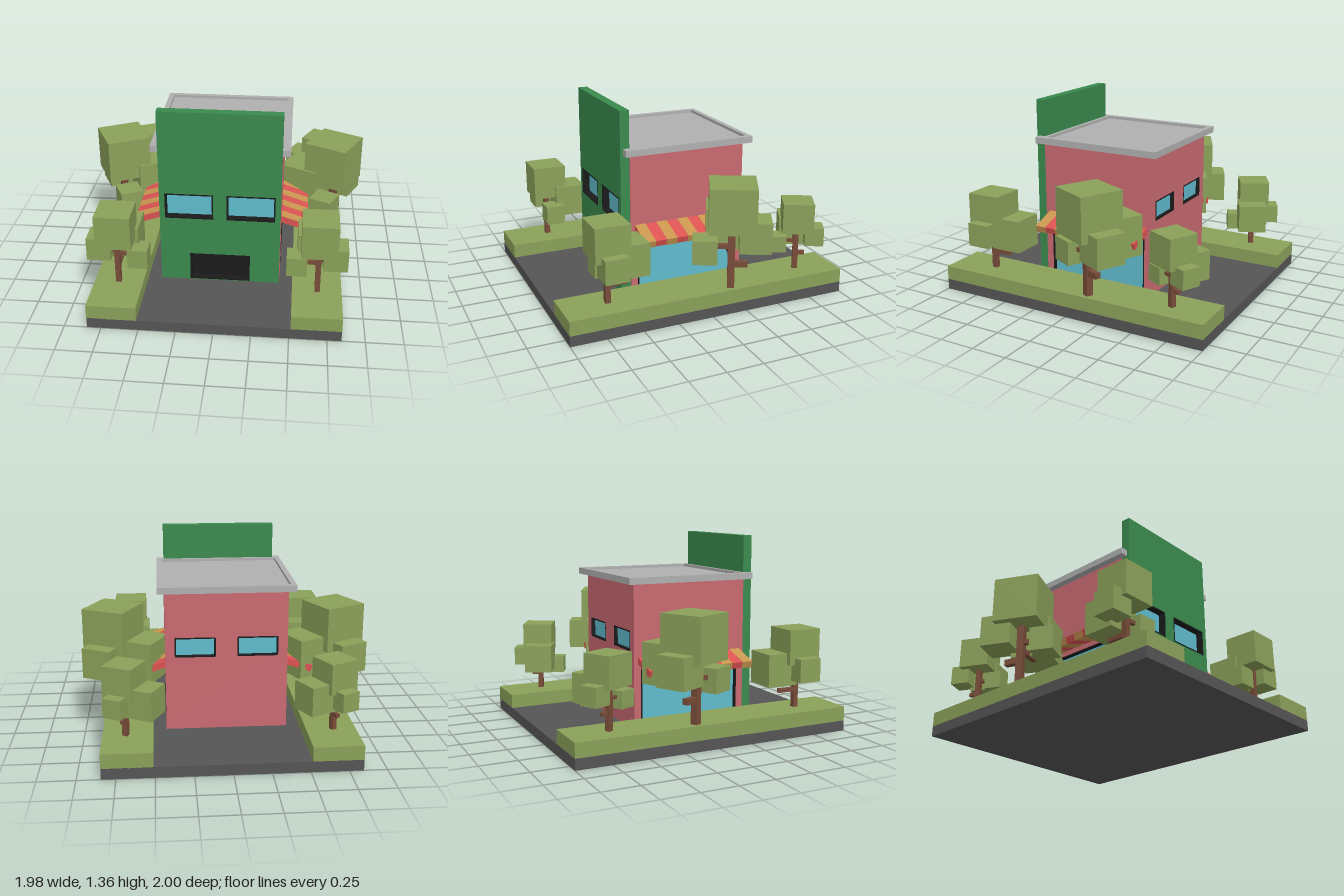
import * as THREE from 'three';

const mat = (color, side = THREE.FrontSide) => new THREE.MeshStandardMaterial({ color, side, flatShading: true });
const M = {
  asphalt: mat(0x555555), leaf: mat(0x8ba15a), wall: mat(0xc96a71), facade: mat(0x3a8a4e),
  glass: mat(0x60bbcd), black: mat(0x1a1a1a), roof: mat(0xb0b0b0), wood: mat(0x784c39),
  red: mat(0xdb5352), orange: mat(0xca9650),
};

function box(name, material, size, pos, parent) {
  const mesh = new THREE.Mesh(new THREE.BoxGeometry(...size), material);
  mesh.name = name;
  mesh.position.set(...pos);
  parent.add(mesh);
  return mesh;
}

function rectPoints(path, [x0, x1, y0, y1]) {
  path.moveTo(x0, y0);
  path.lineTo(x1, y0);
  path.lineTo(x1, y1);
  path.lineTo(x0, y1);
  path.closePath();
  return path;
}

// Flat slab with rectangular holes; outer face at z = 0, thickness behind it
function holedSlab(name, material, rect, holes, depth) {
  const shape = rectPoints(new THREE.Shape(), rect);
  holes.forEach(h => shape.holes.push(rectPoints(new THREE.Path(), h)));
  const geo = new THREE.ExtrudeGeometry(shape, { depth, bevelEnabled: false });
  geo.translate(0, 0, -depth);
  const mesh = new THREE.Mesh(geo, material);
  mesh.name = name;
  return mesh;
}

// Wall with recessed openings: black lining and a pane set back in each
function wall(name, material, rect, openings, depth) {
  const g = new THREE.Group();
  g.name = name;
  g.add(holedSlab(name + 'Panel', material, rect, openings.map(o => o.rect), depth));
  for (const { rect: r, pane } of openings) {
    const [x0, x1, y0, y1] = r, t = 0.01;
    const lining = holedSlab('frame', M.black, r, [[x0 + t, x1 - t, y0 + t, y1 - t]], depth);
    g.add(lining);
    box('pane', pane, [x1 - x0 - t, y1 - y0 - t, 0.015], [(x0 + x1) / 2, (y0 + y1) / 2, 0.0075 - depth], g);
  }
  return g;
}

// Awning sloping down and outward on the +x side, with raised orange stripes
function awning() {
  const g = new THREE.Group();
  g.name = 'awning';
  g.position.set(0.505, 0.515, 0);
  g.rotation.z = -0.32;
  box('awningSlab', M.red, [0.19, 0.045, 0.78], [0, 0, 0], g);
  for (let i = 0; i < 5; i++) {
    box('awningStripe', M.orange, [0.194, 0.049, 0.077], [0, 0, 0.35 - i * 0.156], g);
  }
  return g;
}

// Each tree: trunk [x, z, width, top], crowns [x, y, z, size], branches [dx, y, dz, thickness]
const trees = [
  {
    name: 'frontTree', turn: 0, trunk: [0.68, 0.69, 0.036, 0.52],
    crowns: [[0.68, 0.615, 0.685, 0.24], [0.65, 0.46, 0.535, 0.225],
      [0.79, 0.462, 0.685, 0.162], [0.535, 0.383, 0.675, 0.137]],
    branches: [[0, 0.298, -0.135, 0.028], [0.1, 0.42, 0, 0.025], [-0.13, 0.4, 0, 0.025]],
  },
  {
    name: 'middleTree', turn: -0.464, trunk: [0.79, -0.15, 0.048, 0.62],
    crowns: [[0.777, 0.746, -0.158, 0.312], [0.846, 0.55, -0.295, 0.212],
      [0.58, 0.55, -0.22, 0.28], [0.72, 0.447, 0.012, 0.166]],
    branches: [[-0.04, 0.468, 0.12, 0.03], [-0.17, 0.42, -0.05, 0.035], [0.04, 0.338, -0.1, 0.04]],
  },
  {
    name: 'backTree', turn: -0.464, trunk: [0.69, -0.715, 0.036, 0.49],
    crowns: [[0.69, 0.57, -0.718, 0.212], [0.56, 0.433, -0.76, 0.197],
      [0.74, 0.425, -0.825, 0.13], [0.625, 0.362, -0.605, 0.118]],
    branches: [[0.02, 0.288, -0.06, 0.026], [-0.1, 0.4, -0.03, 0.025], [-0.04, 0.38, 0.08, 0.022]],
  },
];

function tree({ name, turn, trunk: [x, z, w, top], crowns, branches }) {
  const g = new THREE.Group();
  g.name = name;
  box('trunk', M.wood, [w, top - 0.16, w], [x, (top + 0.16) / 2, z], g).rotation.y = turn;
  for (const [cx, cy, cz, s] of crowns) {
    box('foliage', M.leaf, [s, s, s], [cx, cy, cz], g).rotation.y = turn;
  }
  for (const [dx, y, dz, t] of branches) {
    const b = box('branch', M.wood, [t, t, Math.hypot(dx, dz)], [x + dx / 2, y, z + dz / 2], g);
    b.rotation.y = Math.atan2(dx, dz);
  }
  return g;
}

export function createModel() {
  const model = new THREE.Group();
  model.name = 'shopWithTrees';
  box('pavement', M.asphalt, [1.69, 0.075, 2], [0, 0.0375, 0], model);

  // Tall front facade with two windows and a doorway
  const win = (x0, x1, y0, y1, pane = M.glass) => ({ rect: [x0, x1, y0, y1], pane });
  const front = wall('frontFacade', M.facade, [-0.415, 0.415, 0.075, 1.36], [
    win(-0.378, -0.045, 0.57, 0.76), win(0.045, 0.378, 0.57, 0.76),
    win(-0.21, 0.21, 0.08, 0.29, M.black),
  ], 0.065);
  front.position.z = 0.485;
  model.add(front);

  // Back wall with two small windows
  const back = wall('backWall', M.wall, [-0.42, 0.42, 0.075, 1.06],
    [win(-0.355, -0.075, 0.6, 0.74), win(0.075, 0.355, 0.6, 0.74)], 0.04);
  back.rotation.y = Math.PI;
  back.position.z = -0.42;
  model.add(back);
  box('innerFrontWall', M.wall, [0.8, 0.985, 0.02], [0, 0.5675, 0.41], model);

  // Flat roof with a raised rim
  box('roofDeck', M.roof, [0.88, 0.025, 0.88], [0, 1.0725, 0], model);
  const rim = holedSlab('roofRim', M.roof, [-0.468, 0.468, -0.465, 0.47], [[-0.43, 0.43, -0.395, 0.435]], 0.045);
  rim.rotation.x = -Math.PI / 2;
  rim.position.y = 1.105;
  model.add(rim);

  // Both sides: lawn, wall with wide shop window, awning, trees
  for (const s of [1, -1]) {
    const side = new THREE.Group();
    side.name = s > 0 ? 'leftSide' : 'rightSide';
    box('lawn', M.leaf, [0.335, 0.1, 2], [0.6775, 0.123, 0], side);
    const sideWall = wall('sideWall', M.wall, [-0.42, 0.42, 0.075, 1.06],
      [win(-0.37, 0.37, 0.1, 0.485)], 0.04);
    sideWall.rotation.y = Math.PI / 2;
    sideWall.position.x = 0.42;
    side.add(sideWall, awning(), ...trees.map(tree));
    side.scale.x = s;
    model.add(side);
  }
  return model;
}
